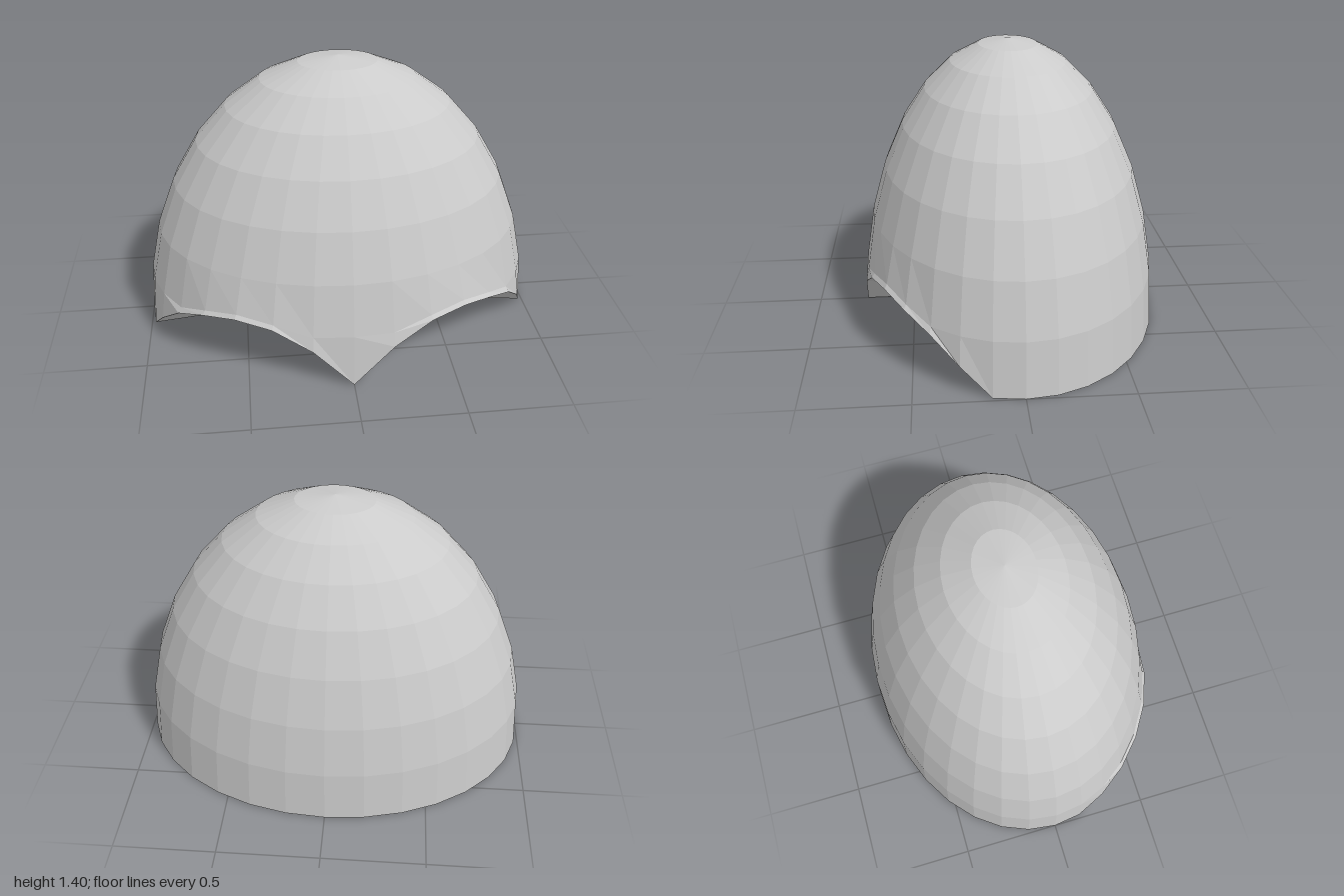
import * as THREE from 'three';

const SEGMENTS = 32;
const RADIUS = { x: 1, y: 1.4, z: 0.75 };
// Height of the rim at each step away from the front centre; zero beyond
const ARCH = [0, 0.2, 0.31, 0.335, 0.305, 0.245, 0.13];

// Raises the rim into two front arches and keeps the ring above clear of it
function raiseArches(geometry) {
  const pos = geometry.attributes.position;
  for (let i = 0; i < pos.count; i++) {
    const x = pos.getX(i), y = pos.getY(i), z = pos.getZ(i);
    if (y > 0.4 || Math.hypot(x, z) < 0.1) continue;
    const angle = Math.abs(Math.atan2(x / RADIUS.x, z / RADIUS.z));
    const rim = ARCH[Math.round(angle / (2 * Math.PI / SEGMENTS))] ?? 0;
    pos.setY(i, y < 0.01 ? rim : Math.max(y, rim + 0.02));
  }
  geometry.computeVertexNormals();
  return geometry;
}

export function createModel() {
  const group = new THREE.Group();
  group.name = 'archedDome';
  const material = new THREE.MeshStandardMaterial({ color: 0xcccccc, flatShading: true });

  // Faceted half-ellipsoid shell
  const domeGeometry = new THREE.SphereGeometry(1, SEGMENTS, 8, 0, Math.PI * 2, 0, Math.PI / 2);
  domeGeometry.scale(RADIUS.x, RADIUS.y, RADIUS.z);
  const dome = new THREE.Mesh(raiseArches(domeGeometry), material);
  dome.name = 'dome';

  // Underside fan that folds up to follow the arches
  const baseGeometry = new THREE.CircleGeometry(1, SEGMENTS);
  baseGeometry.rotateX(Math.PI / 2).scale(RADIUS.x, 1, RADIUS.z);
  const base = new THREE.Mesh(raiseArches(baseGeometry), material);
  base.name = 'underside';

  group.add(dome, base);
  return group;
}
